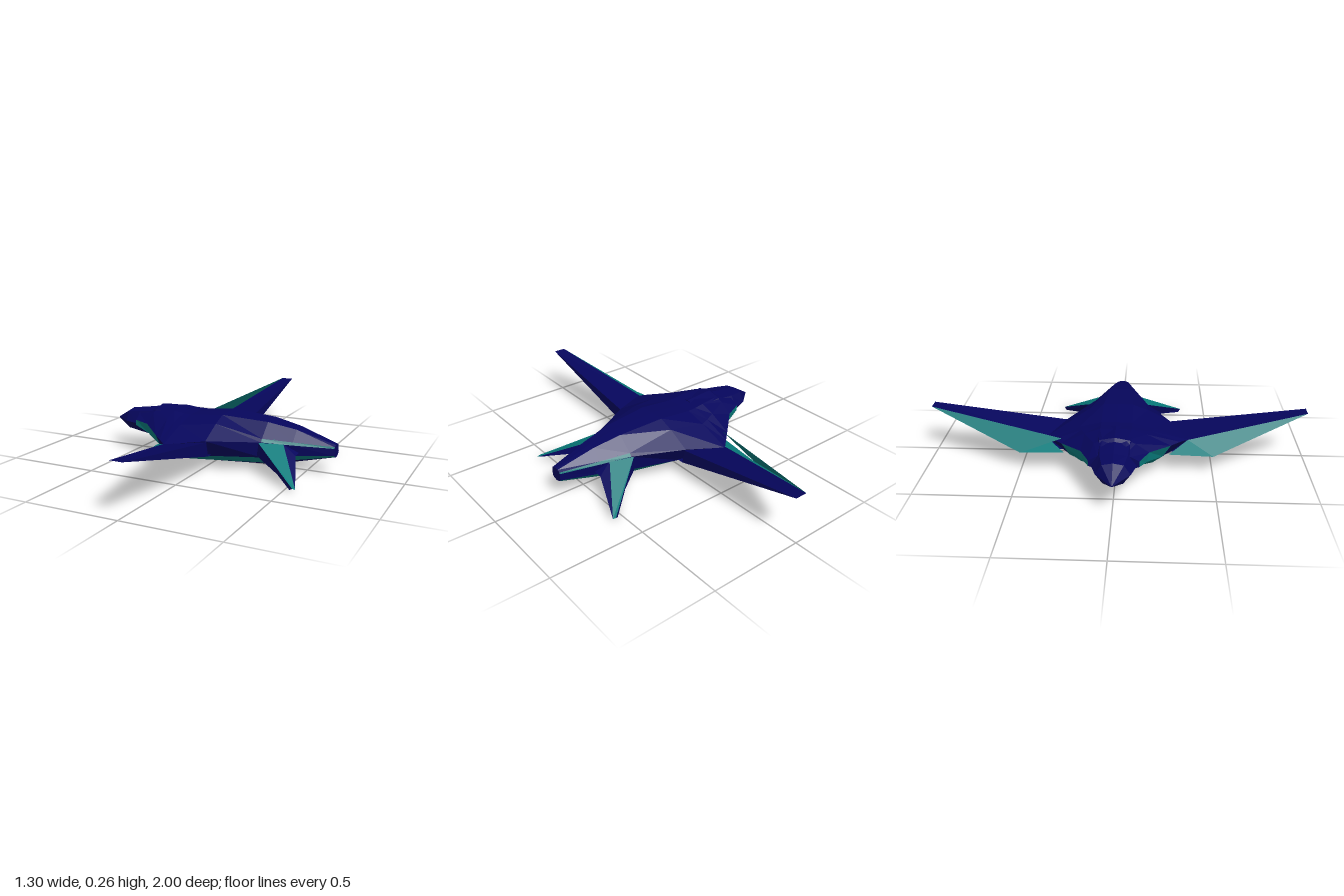
import * as THREE from 'three';

const mix = THREE.MathUtils.lerp;

export function createModel() {
  const model = new THREE.Group();
  model.name = 'jet';
  const paint = (name, color) => {
    const m = new THREE.MeshStandardMaterial({ color, flatShading: true, side: THREE.DoubleSide });
    m.name = name;
    return m;
  };
  const navy = paint('navy', 0x06065c);
  const teal = paint('teal', 0x087c7c);

  // Collects flat polygons for both sides of the jet, grouped by colour
  const makePart = (name, build) => {
    const part = new THREE.Group();
    part.name = name;
    const lists = new Map([[navy, []], [teal, []]]);
    for (const side of [1, -1]) {
      build((material, ...pts) => {
        const p = side > 0 ? pts : [...pts].reverse();
        for (let i = 1; i < p.length - 1; i++) {
          for (const [x, y, z] of [p[0], p[i], p[i + 1]]) lists.get(material).push(x, y, z * side);
        }
      }, side);
    }
    for (const [material, list] of lists) {
      if (!list.length) continue;
      const g = new THREE.BufferGeometry();
      g.setAttribute('position', new THREE.Float32BufferAttribute(list, 3));
      g.computeVertexNormals();
      const mesh = new THREE.Mesh(g, material);
      mesh.name = `${name} ${material.name}`;
      part.add(mesh);
    }
    model.add(part);
  };

  // Joins half cross-sections that run from top centre to bottom centre
  const loft = (face, rings, colourOf) => {
    for (let i = 0; i < rings.length - 1; i++) {
      const a = rings[i], b = rings[i + 1];
      for (let j = 0; j < a.length - 1; j++) {
        face(colourOf(i, j), a[j], a[j + 1], b[j + 1], b[j]);
      }
    }
    face(navy, ...rings[0]);
    face(navy, ...[...rings[rings.length - 1]].reverse());
  };

  // Forward fuselage with cockpit hump: x, top, bottom, half width
  const noseRings = [
    [-0.65, 0.162, 0.156, 0.004],
    [-0.55, 0.225, 0.106, 0.085],
    [-0.47, 0.236, 0.097, 0.11],
    [-0.38, 0.252, 0.082, 0.12],
    [-0.36, 0.265, 0.079, 0.125],
    [-0.31, 0.263, 0.07, 0.13],
    [-0.2, 0.255, 0.1, 0.12],
  ].map(([x, top, low, half]) => [
    [x, top, 0], [x, mix(low, top, 0.92), half * 0.62], [x, mix(low, top, 0.5), half],
    [x, mix(low, top, 0.1), half * 0.58], [x, low, 0],
  ]);
  makePart('nose', (face) => loft(face, noseRings, () => navy));

  // Main hull: x, top, top half width, edge y, edge z, flank y, flank z, keel y
  const hullRings = [
    [-0.46, 0.22, 0.05, 0.19, 0.125, 0.16, 0.125, 0.14],
    [-0.36, 0.254, 0.06, 0.188, 0.17, 0.135, 0.16, 0.105],
    [-0.24, 0.256, 0.08, 0.167, 0.28, 0.105, 0.24, 0.05],
    [-0.185, 0.249, 0.08, 0.162, 0.33, 0.085, 0.25, 0],
    [-0.14, 0.246, 0.08, 0.153, 0.37, 0.078, 0.28, 0.006],
    [0.05, 0.265, 0.08, 0.17, 0.28, 0.077, 0.22, 0.009],
    [0.3, 0.25, 0.06, 0.162, 0.15, 0.08, 0.14, 0.013],
    [0.45, 0.222, 0.04, 0.152, 0.1, 0.095, 0.095, 0.044],
    [0.65, 0.16, 0.015, 0.143, 0.035, 0.106, 0.035, 0.09],
  ].map(([x, top, topZ, edgeY, edgeZ, flankY, flankZ, keel]) => {
    const s = x > 0.2 ? 0.12 : 0.6;
    return [
      [x, top, 0], [x, top - 0.002, topZ],
      [x, mix(edgeY, top, s) + 0.006, mix(edgeZ, topZ, s)],
      [x, edgeY, edgeZ], [x, flankY, flankZ],
      [x, mix(keel, flankY, 0.45), flankZ * 0.75],
      [x, keel + 0.002, flankZ * 0.22], [x, keel, 0],
    ];
  });
  makePart('hull', (face) => loft(face, hullRings, (i, j) => {
    const intake = j === 3 && i < 2;
    const keelStripe = j === 4 && i >= 1;
    const bellyRamp = j > 4 && (i === 1 || i === 2);
    const tailStripe = j === 2 && i >= 6;
    return intake || keelStripe || bellyRamp || tailStripe ? teal : navy;
  }));

  // Wings, rising to narrow tips, with teal leading edges above and below
  makePart('wings', (face, side) => {
    const inner = [-0.24, 0.115, 0.27], lead = [-0.225, 0.1, 0.5];
    const tipFront = [-0.03, 0.265, 1], tipBack = [0.035, 0.265, 1];
    const ridge = [-0.145, 0.154, 0.37], keel = [-0.14, 0.082, 0.37];
    const backTop = [0.055, 0.165, 0.28], backLow = [0.055, 0.085, 0.26];
    const inboard = ([x, y]) => [x, y, 0.18];
    face(teal, inner, lead, ridge);
    face(teal, lead, tipFront, ridge);
    face(navy, ridge, tipFront, tipBack);
    face(navy, ridge, tipBack, backTop);
    face(navy, inboard(ridge), ridge, backTop, inboard(backTop));
    face(teal, lead, inner, keel);
    face(teal, tipFront, lead, keel);
    face(navy, tipBack, tipFront, keel);
    face(navy, backLow, tipBack, keel);
    face(navy, keel, inboard(keel), inboard(backLow), backLow);
    face(navy, backTop, tipBack, backLow);
    // Raised leading-edge panel on one wing only
    if (side < 0) face(teal, [-0.21, 0.18, 0.28], lead, tipFront);
  });

  // Tail fins, swept back and drooping, with a teal band along the upper ridge
  makePart('tailFins', (face) => {
    const low = [0.26, 0.095, 0.14], lowMid = [0.43, 0.042, 0.25], tipLow = [0.53, 0.008, 0.345];
    const front = [0.28, 0.163, 0.15], crown = [0.36, 0.177, 0.118], notch = [0.405, 0.158, 0.11];
    const tipFront = [0.548, 0.02, 0.357], tipBack = [0.562, 0.016, 0.352];
    const trail = [0.48, 0.11, 0.135], root = [0.48, 0.115, 0.08], under = [0.4, 0.07, 0.08];
    face(navy, low, lowMid, front);
    face(navy, lowMid, tipLow, tipFront, front);
    face(teal, front, tipFront, tipBack);
    face(teal, front, tipBack, notch);
    face(teal, front, notch, crown);
    face(navy, notch, tipBack, trail);
    face(navy, notch, trail, root);
    face(navy, root, trail, under);
    face(navy, under, trail, lowMid);
    face(navy, under, lowMid, low);
    face(navy, lowMid, trail, tipBack);
    face(navy, lowMid, tipBack, tipFront, tipLow);
  });

  return model;
}
